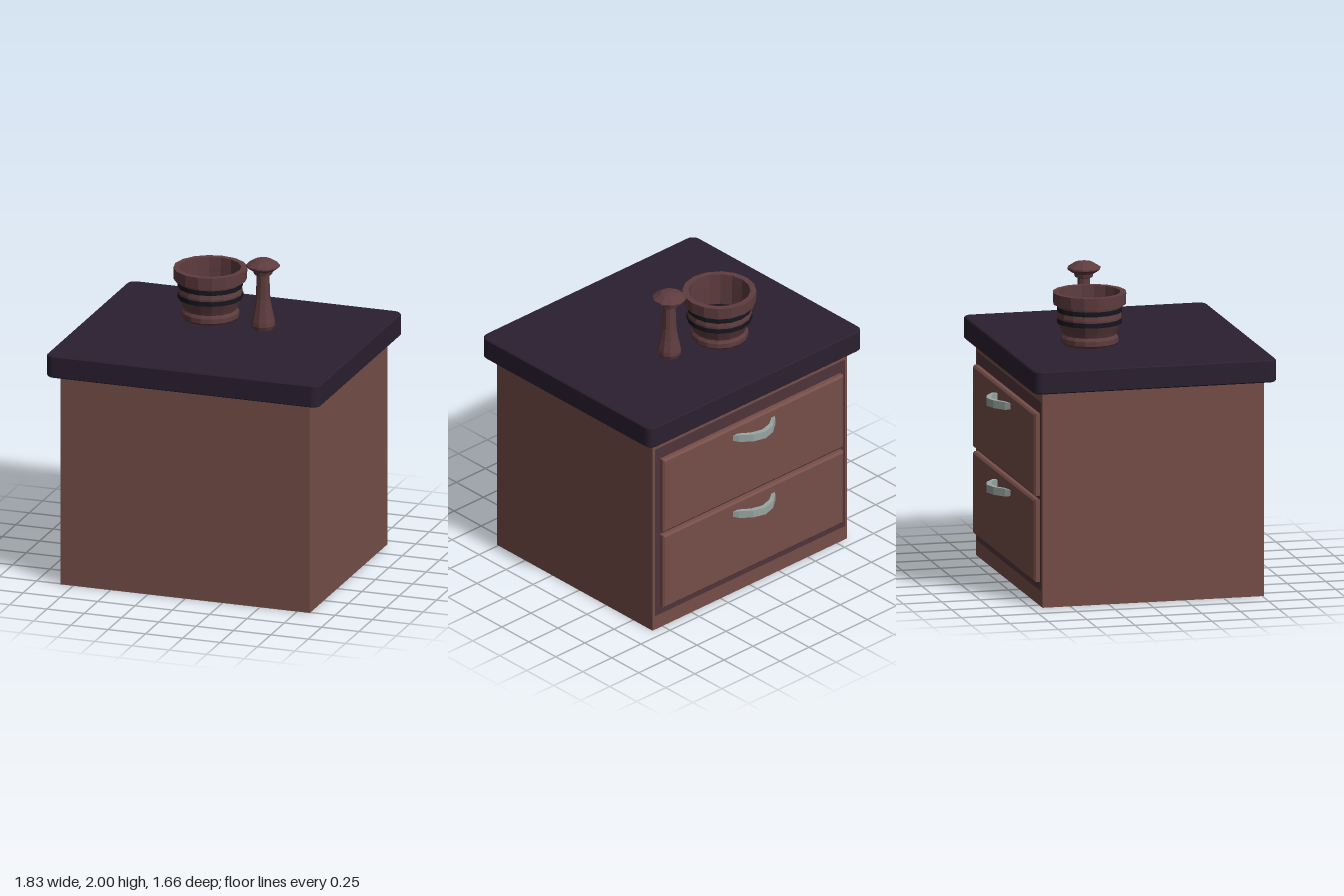
import * as THREE from 'three';

const paint = (color, extra = {}) => new THREE.MeshStandardMaterial({ color, flatShading: true, ...extra });
const wood = paint(0x764e48);
const shadowWood = paint(0x50343a);
const stone = paint(0x2a2030);
const darkWood = paint(0x5e3c3e, { side: THREE.DoubleSide });
const band = paint(0x16171f);
const metal = paint(0x98a6a2);

function add(parent, name, geometry, material, x = 0, y = 0, z = 0) {
  const mesh = new THREE.Mesh(geometry, material);
  mesh.name = name;
  mesh.position.set(x, y, z);
  parent.add(mesh);
  return mesh;
}

function lathe(profile, sides) {
  return new THREE.LatheGeometry(profile.map(([r, y]) => new THREE.Vector2(r, y)), sides);
}

function roundedRect(w, h, r) {
  const s = new THREE.Shape();
  const x = w / 2, y = h / 2;
  s.absarc(x - r, y - r, r, 0, Math.PI / 2);
  s.absarc(-x + r, y - r, r, Math.PI / 2, Math.PI);
  s.absarc(-x + r, -y + r, r, Math.PI, Math.PI * 1.5);
  s.absarc(x - r, -y + r, r, Math.PI * 1.5, Math.PI * 2);
  return s;
}

// Slab with rounded corners and a fine chamfer, lying flat from y = 0 to y = height
function slab(w, d, height, radius, chamfer) {
  const g = new THREE.ExtrudeGeometry(roundedRect(w - 2 * chamfer, d - 2 * chamfer, radius), {
    depth: height - 2 * chamfer, bevelEnabled: true, bevelSize: chamfer,
    bevelThickness: chamfer, bevelSegments: 1, curveSegments: 4,
  });
  return g.translate(0, 0, chamfer).rotateX(-Math.PI / 2);
}

// Drawer front: a box whose outer (-z) face is drawn in to form a chamfer
function drawerFront(w, h) {
  const s = new THREE.Shape();
  const x = w / 2 - 0.012, y = h / 2 - 0.012;
  s.moveTo(-x, -y).lineTo(x, -y).lineTo(x, y).lineTo(-x, y).closePath();
  const g = new THREE.ExtrudeGeometry(s, {
    depth: 0.028, bevelEnabled: true, bevelSize: 0.012, bevelThickness: 0.012, bevelSegments: 1,
  });
  return g.rotateY(Math.PI);
}

// Bowed strap handle: outer and inner arc, extruded upward
function handleGeometry() {
  const outer = [[-0.18, 0.72], [-0.155, 0.75], [-0.085, 0.805], [0, 0.83], [0.085, 0.805], [0.155, 0.75], [0.18, 0.72]];
  const inner = [[0.145, 0.72], [0.125, 0.742], [0.08, 0.775], [0, 0.797], [-0.08, 0.775], [-0.125, 0.742], [-0.145, 0.72]];
  const s = new THREE.Shape([...outer, ...inner].map(([x, z]) => new THREE.Vector2(x, z)));
  const g = new THREE.ExtrudeGeometry(s, { depth: 0.05, bevelEnabled: false });
  g.translate(0, 0, -0.025).rotateX(-Math.PI / 2);
  // Ends are a little slimmer than the grip
  const p = g.attributes.position;
  for (let i = 0; i < p.count; i++) if (p.getZ(i) > -0.73) p.setY(i, p.getY(i) * 0.75);
  g.computeVertexNormals();
  return g;
}

export function createModel() {
  const model = new THREE.Group();
  model.name = 'drawerCabinet';

  // Cabinet and worktop
  add(model, 'cabinetBody', new THREE.BoxGeometry(1.67, 1.39, 1.44), wood, 0, 0.695, 0.04);
  add(model, 'drawerSurround', new THREE.BoxGeometry(1.63, 1.22, 0.01), shadowWood, 0, 0.71, -0.678);
  add(model, 'worktop', slab(1.834, 1.58, 0.145, 0.05, 0.007), stone, 0, 1.39, 0.04);

  // Two drawers with handles
  for (const [name, y, grip] of [['upper', 0.975, 1.165], ['lower', 0.42, 0.607]]) {
    const drawer = new THREE.Group();
    drawer.name = name + 'Drawer';
    add(drawer, 'drawerFront', drawerFront(1.55, 0.53), wood, 0, y, -0.68);
    add(drawer, 'handle', handleGeometry(), metal, 0, grip, 0);
    model.add(drawer);
  }

  // Mortar: footed bowl, two dark bands, dark floor
  const mortar = new THREE.Group();
  mortar.name = 'mortar';
  mortar.position.set(-0.18, 1.535, -0.205);
  model.add(mortar);
  add(mortar, 'bowl', lathe([
    [0, 0.01], [0.172, 0.01], [0.183, 0.025], [0.183, 0.055], [0.17, 0.075], [0.178, 0.095],
    [0.203, 0.15], [0.205, 0.19], [0.198, 0.22], [0.206, 0.265], [0.232, 0.27], [0.234, 0.345],
    [0.196, 0.345], [0.193, 0.27], [0.191, 0.125],
  ], 16), darkWood);
  for (const [y, r] of [[0.163, 0.208], [0.235, 0.206]]) {
    add(mortar, 'band', new THREE.CylinderGeometry(r, r, 0.03, 16), band, 0, y, 0);
  }
  // Hollow out the view into the bowl with a floor above the band tops
  add(mortar, 'bowlFloor', new THREE.CylinderGeometry(0.191, 0.191, 0.004, 16), band, 0, 0.13, 0);
  mortar.children.filter((m) => m.name === 'band').forEach((m) => {
    const r = m.geometry.parameters.radiusTop;
    m.geometry = lathe([[0.194, -0.015], [r, -0.015], [r, 0.015], [0.194, 0.015]], 16);
  });

  // Pestle
  add(model, 'pestle', lathe([
    [0, 0], [0.068, 0], [0.077, 0.025], [0.075, 0.05], [0.058, 0.13], [0.046, 0.2], [0.04, 0.355],
    [0.058, 0.362], [0.064, 0.385], [0.078, 0.392], [0.107, 0.412], [0.107, 0.422], [0.055, 0.455], [0, 0.465],
  ], 10), darkWood, 0.195, 1.535, -0.145);

  return model;
}
